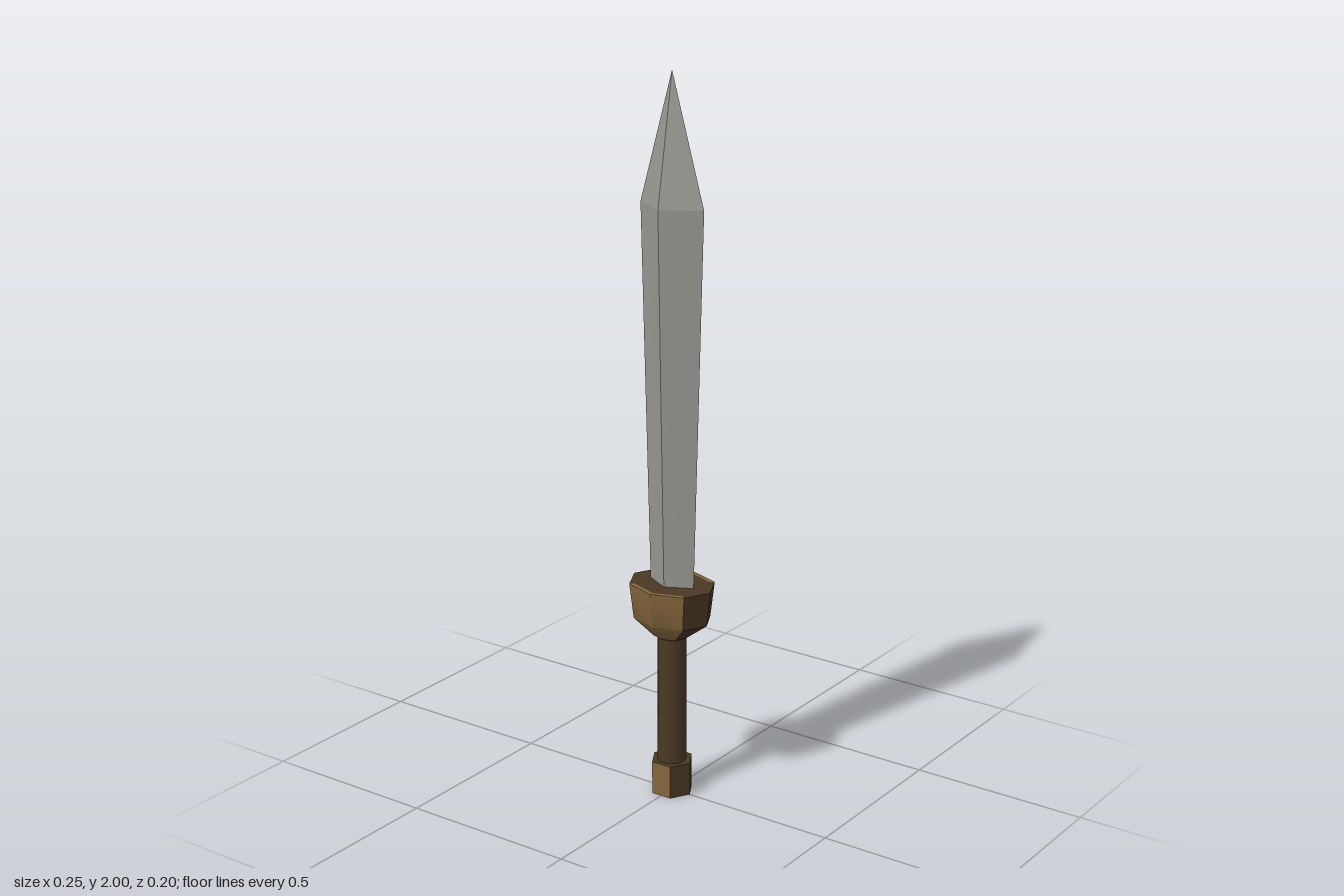
import * as THREE from 'three';
import { toCreasedNormals } from 'three/addons/utils/BufferGeometryUtils.js';

const mat = (name, color) => {
  const m = new THREE.MeshStandardMaterial({ color });
  m.name = name;
  return m;
};

// Octagon or diamond outlines given by their first-quadrant points [x, z], mirrored to a full ring
const diamond = (x, z) => [[x, 0], [0, z], [-x, 0], [0, -z]];
const octagon = (x, cx, cz, z) => [
  [x, 0], [cx, cz], [0, z], [-cx, cz], [-x, 0], [-cx, -cz], [0, -z], [cx, -cz]];
const hexagon = (r) => Array.from({ length: 6 }, (_, i) =>
  [r * Math.cos(i * Math.PI / 3), r * Math.sin(i * Math.PI / 3)]);

// Skin rings of [height, outline] from bottom to top, close both ends;
// pick(column) gives the material index of each side face, caps use index 0
function loft(rings, pick = () => 0, crease = 0.1) {
  const pos = [];
  const geo = new THREE.BufferGeometry();
  const n = rings[0][1].length;
  const point = (r, i) => {
    const [x, z] = rings[r][1][i % n];
    return [x, rings[r][0], z];
  };
  const face = (material, ...pts) => {
    geo.addGroup(pos.length / 3, pts.length, material);
    pts.forEach((p) => pos.push(...p));
  };
  const last = rings.length - 1;
  for (let i = 0; i < n; i++) {
    for (let r = 0; r < last; r++) {
      const a = point(r, i), b = point(r, i + 1), c = point(r + 1, i), d = point(r + 1, i + 1);
      const pointed = c[0] === d[0] && c[2] === d[2];
      if (pointed) face(pick(i), a, c, b);
      else face(pick(i), a, c, d, a, d, b);
    }
    face(0, [0, rings[0][0], 0], point(0, i), point(0, i + 1));
    face(0, [0, rings[last][0], 0], point(last, i + 1), point(last, i));
  }
  geo.setAttribute('position', new THREE.Float32BufferAttribute(pos, 3));
  return toCreasedNormals(geo, crease);
}

export function createModel() {
  const sword = new THREE.Group();
  sword.name = 'sword';
  const steel = mat('steel', 0x979690);
  const darkWood = mat('dark wood', 0x4a3924);
  const bronze = mat('bronze', 0x85663d);

  const add = (name, geometry, material) => {
    const mesh = new THREE.Mesh(geometry, material);
    mesh.name = name;
    sword.add(mesh);
    return mesh;
  };

  // Blade: diamond section, widening to the shoulders and then tapering to the tip
  add('blade', loft([
    [0.58, diamond(0.07, 0.037)],
    [1.65, diamond(0.1, 0.062)],
    [2, diamond(0, 0)],
  ]), [steel]);

  // Guard: octagonal cup with bronze front and back, dark ends and a dark inset top
  const frontOrBack = (i) => (i % 4 === 1 || i % 4 === 2 ? 1 : 0);
  add('guard', loft([
    [0.465, octagon(0.048, 0.036, 0.036, 0.048)],
    [0.515, octagon(0.114, 0.081, 0.065, 0.09)],
    [0.614, octagon(0.126, 0.09, 0.072, 0.102)],
    [0.614, octagon(0.126, 0.078, 0.063, 0.09)],
  ], frontOrBack, 0.6), [darkWood, bronze]);

  // Grip: plain round handle
  add('grip', new THREE.CylinderGeometry(0.04, 0.04, 0.4, 12), darkWood).position.y = 0.28;

  // Pommel: hexagonal block with bronze front and back faces
  add('pommel', loft([
    [0, hexagon(0.06)],
    [0.095, hexagon(0.06)],
  ], (i) => (i % 3 === 1 ? 1 : 0)), [darkWood, bronze]);

  return sword;
}
